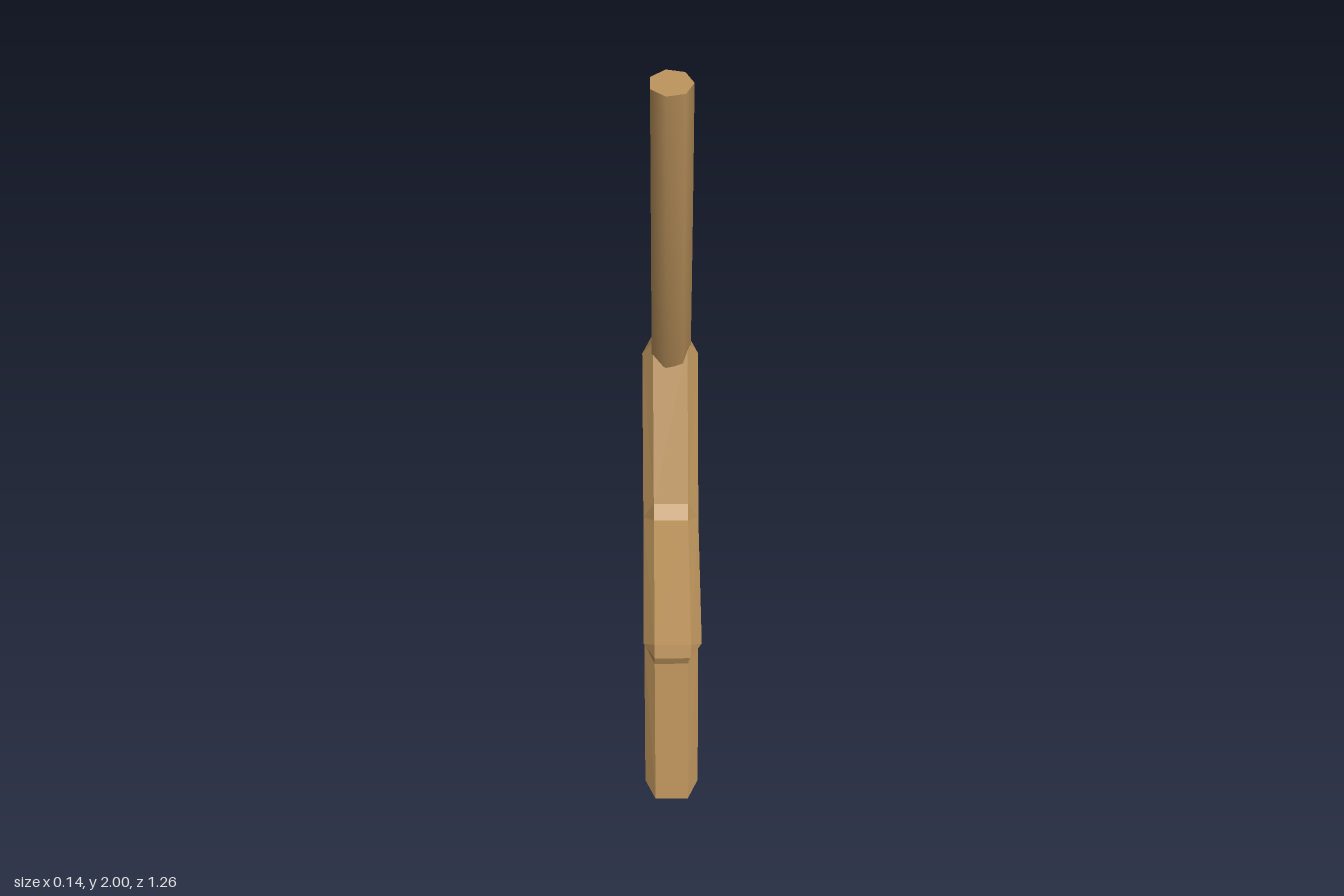
import * as THREE from 'three';

const wood = new THREE.MeshStandardMaterial({ color: 0xb8905a });
wood.name = 'wood brown';

const CENTRE_Y = 0.54;
const FACE_X = 0.068;
const RIM_X = 0.042;

// Bevelled five-pointed star lying in the yz plane, thick along x
function starGeometry() {
  // Point at radius r and angle a (from +y towards +z), shifted sideways by w
  const point = (r, a, w, x) => [x,
    CENTRE_Y + r * Math.cos(a) - w * Math.sin(a),
    r * Math.sin(a) + w * Math.cos(a)];

  const face = (i, s) => point(i % 2 ? 0.29 : 0.61, i * Math.PI / 5, 0, s * FACE_X);
  // The rim has two points per corner, so tips and notches are blunt
  const rim = (k, s) => {
    const i = Math.floor(k / 2);
    const side = k % 2 ? 1 : -1;
    return i % 2
      ? point(0.337, i * Math.PI / 5, side * 0.021, s * RIM_X)
      : point(0.655, i * Math.PI / 5, side * 0.017, s * RIM_X);
  };

  const positions = [];
  const tri = (a, b, c, s = 1) =>
    positions.push(...a, ...(s > 0 ? b : c), ...(s > 0 ? c : b));
  const quad = (a, b, c, d, s = 1) => {
    tri(a, b, c, s);
    tri(a, c, d, s);
  };

  for (let i = 0; i < 10; i++) {
    for (const s of [1, -1]) {
      tri([s * FACE_X, CENTRE_Y, 0], face(i, s), face(i + 1, s), s);
      tri(face(i, s), rim(2 * i, s), rim(2 * i + 1, s), s);
      quad(face(i, s), rim(2 * i + 1, s), rim(2 * i + 2, s), face(i + 1, s), s);
    }
  }
  for (let k = 0; k < 20; k++) {
    quad(rim(k, 1), rim(k, -1), rim(k + 1, -1), rim(k + 1, 1));
  }

  const geometry = new THREE.BufferGeometry();
  geometry.setAttribute('position', new THREE.Float32BufferAttribute(positions, 3));
  geometry.computeVertexNormals();
  return geometry;
}

export function createModel() {
  const model = new THREE.Group();
  model.name = 'starOnStem';
  const add = (name, geometry, parent = model) => {
    const mesh = new THREE.Mesh(geometry, wood);
    mesh.name = name;
    parent.add(mesh);
    return mesh;
  };

  add('star', starGeometry());

  // Curved seven-sided stem
  const stem = new THREE.Group();
  stem.name = 'stem';
  model.add(stem);
  const curve = new THREE.QuadraticBezierCurve3(
    new THREE.Vector3(0, 1.155, 0),
    new THREE.Vector3(0, 1.535, 0.137),
    new THREE.Vector3(0, 1.992, 0.205));
  add('stemRod', new THREE.TubeGeometry(curve, 10, 0.05, 7), stem);

  // Flat ends of the stem
  for (const [t, sign, name] of [[0, -1, 'stemBottom'], [1, 1, 'stemTop']]) {
    const dir = curve.getTangent(t).multiplyScalar(sign);
    const cap = add(name, new THREE.CircleGeometry(0.05, 7), stem);
    cap.position.copy(curve.getPoint(t));
    cap.rotation.x = Math.atan2(-dir.y, dir.z);
  }
  return model;
}
